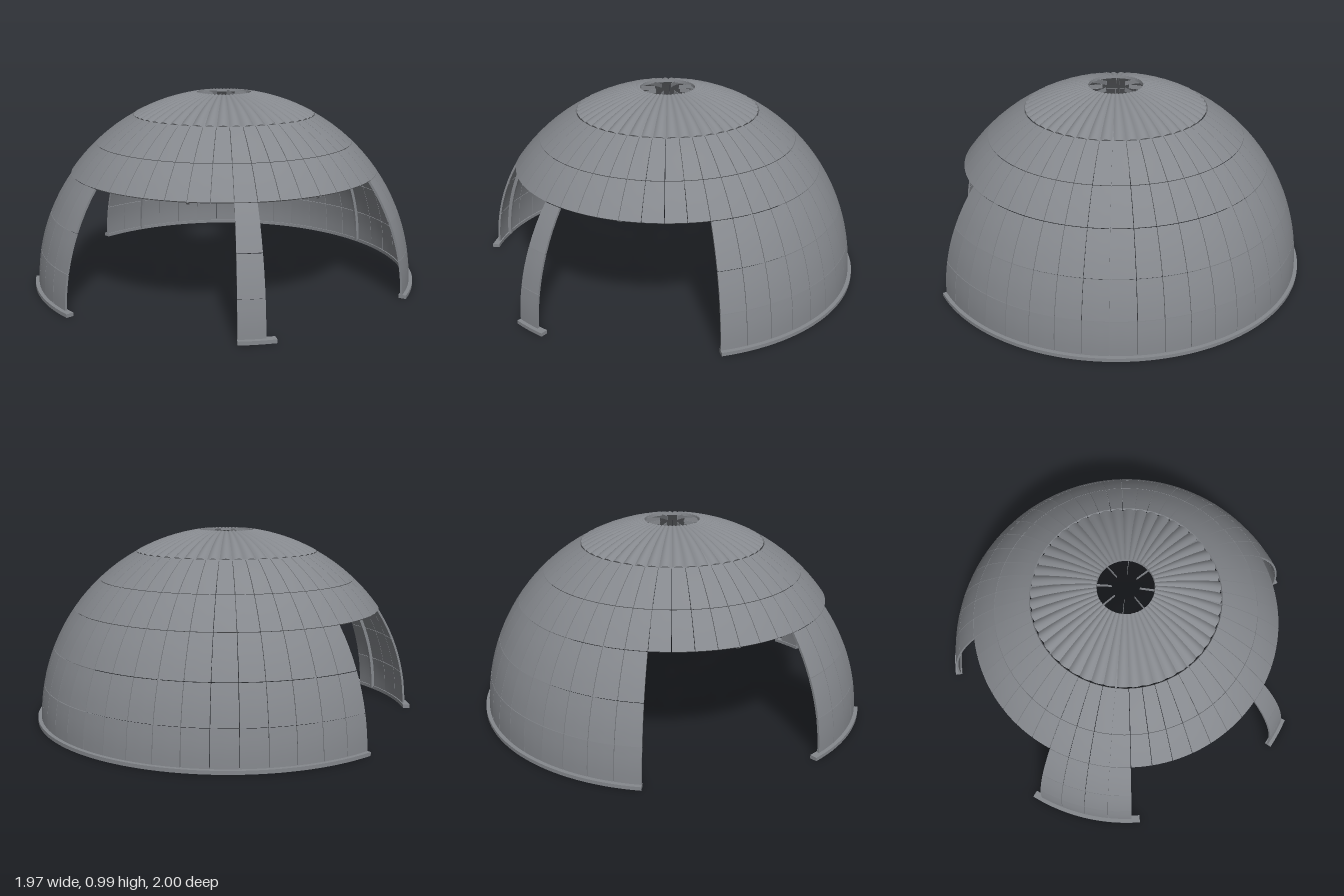
import * as THREE from 'three';
import { mergeGeometries } from 'three/addons/utils/BufferGeometryUtils.js';

const DEG = Math.PI / 180;
const STEP = 7.5;              // width of one panel, degrees
const R_OUT = 0.998, R_IN = 0.987;
const GAP = 0.0014;            // half the seam between panels
const lat = (y) => Math.asin(y / R_OUT);

// Azimuth is measured from +z towards +x, elevation up from the ground.
const WALLS = [
  { name: 'backWall', from: 75, to: 240, sill: [75, 240] },
  { name: 'frontLeg', from: 15, to: 22.5, sill: [15, 25] },
  { name: 'sideWall', from: -67.5, to: -37.5, sill: [-70, -35] },
];
const LEVELS = [0.01, 0.195, 0.385, 0.585];
const UPPER = [0.585, 0.735, 0.875];

// Bend a box: x -> azimuth, y -> elevation, z -> radius.
function bend(segA, segE, map) {
  const geo = new THREE.BoxGeometry(1, 1, 1, segA, segE, 1);
  const p = geo.attributes.position;
  for (let i = 0; i < p.count; i++) {
    const [x, y, z] = map(p.getX(i) + 0.5, p.getY(i) + 0.5, p.getZ(i) + 0.5);
    p.setXYZ(i, x, y, z);
  }
  geo.computeVertexNormals();
  return geo;
}

function onSphere(a, e, r) {
  return [r * Math.cos(e) * Math.sin(a), r * Math.sin(e), r * Math.cos(e) * Math.cos(a)];
}

// Curved block between two azimuths, elevations and radii
function shellBlock(a0, a1, e0, e1, r0, r1, segA, segE) {
  return bend(segA, segE, (u, v, w) =>
    onSphere(a0 + (a1 - a0) * u, e0 + (e1 - e0) * v, r0 + (r1 - r0) * w));
}

// Rows of separate panels
function panels(from, to, levels) {
  const parts = [];
  for (let j = 0; j < levels.length - 1; j++) {
    const e0 = lat(levels[j]) + GAP, e1 = lat(levels[j + 1]) - GAP;
    const g = GAP / Math.cos((e0 + e1) / 2);
    for (let a = from; a < to - 0.01; a += STEP) {
      parts.push(shellBlock(a * DEG + g, (a + STEP) * DEG - g, e0, e1, R_IN, R_OUT, 3, 4));
    }
  }
  return mergeGeometries(parts);
}

// Flat curved strip at the foot of a wall
function sill([from, to]) {
  return bend(Math.ceil((to - from) / 2.5), 1, (u, v, w) => {
    const a = (from + (to - from) * u) * DEG, r = 0.98 + 0.037 * w;
    return [r * Math.sin(a), 0.018 * v, r * Math.cos(a)];
  });
}

// Fluted cap around the open eye of the dome
function flutedCap() {
  const parts = [];
  const e0 = lat(0.875) + 0.005, e1 = Math.acos(0.143 / R_OUT);
  for (let a = 0; a < 359; a += STEP) {
    parts.push(bend(8, 8, (u, v, w) => {
      const e = e0 + (e1 - e0) * v;
      const depth = 0.028 * Math.cos(e) * (2 * u - 1) ** 2;   // valleys at the flute edges
      const r = w > 0.5 ? R_OUT + 0.002 - depth : R_IN - 0.004;
      return onSphere((a + STEP * u) * DEG, e, r);
    }));
  }
  return mergeGeometries(parts);
}

export function createModel() {
  const model = new THREE.Group();
  model.name = 'openDome';
  const grey = new THREE.MeshStandardMaterial({ color: 0x85888d });
  grey.name = 'slateGrey';

  const dome = new THREE.Group();
  dome.name = 'dome';
  dome.position.set(-0.03, 0, 0.017);
  model.add(dome);
  const add = (name, geo) => {
    const mesh = new THREE.Mesh(geo, grey);
    mesh.name = name;
    dome.add(mesh);
  };

  // Lower walls, each on its sill
  for (const w of WALLS) {
    add(w.name, panels(w.from, w.to, LEVELS));
    add(w.name + 'Sill', sill(w.sill));
  }

  // Closed upper bands and the cap
  add('upperPanels', panels(0, 360, UPPER));
  add('flutedCap', flutedCap());

  // Eight inner ribs, reaching the ground only where a wall stands
  for (let a = -45; a < 315; a += 45) {
    const grounded = WALLS.some((w) => a >= w.from && a <= w.to);
    const e0 = lat(grounded ? 0.01 : 0.585);
    add('rib', shellBlock((a - 0.5) * DEG, (a + 0.5) * DEG, e0, 86 * DEG, 0.968, 0.99, 1, 28));
  }
  return model;
}
